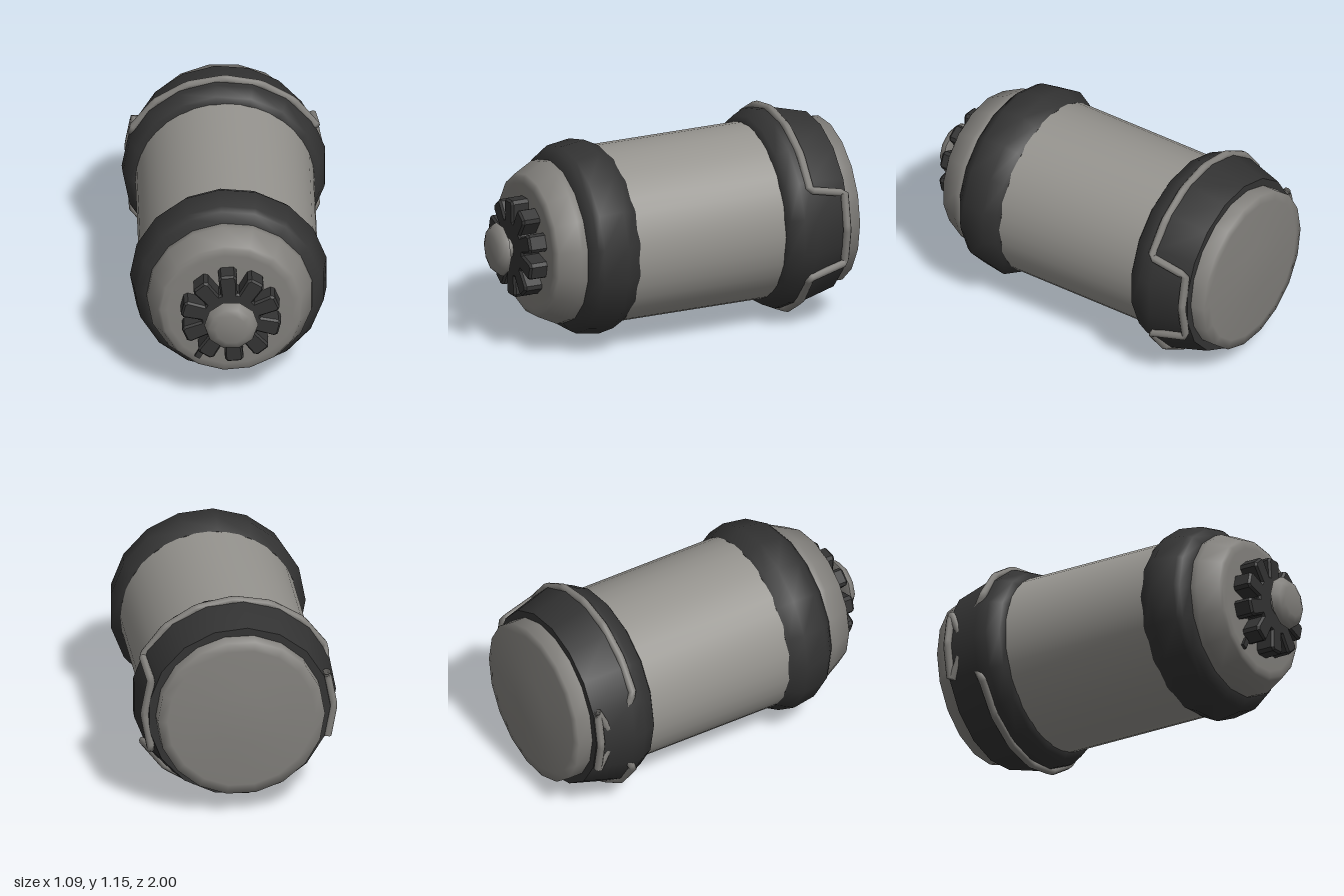
import * as THREE from 'three';
import { toCreasedNormals } from 'three/addons/utils/BufferGeometryUtils.js';

const AXIS_Y = 0.578;

export function createModel() {
  const model = new THREE.Group();
  model.name = 'canister';

  const mat = (name, color) => {
    const m = new THREE.MeshStandardMaterial({ color });
    m.name = name;
    return m;
  };
  const bodyMetal = mat('bodyMetal', 0x96948f);
  const capMetal = mat('capMetal', 0x82807c);
  const rubber = mat('darkRubber', 0x333333);

  // All parts sit on one horizontal axis running along z
  const assembly = new THREE.Group();
  assembly.name = 'assembly';
  assembly.position.y = AXIS_Y;
  model.add(assembly);

  const add = (name, geometry, material) => {
    const mesh = new THREE.Mesh(geometry, material);
    mesh.name = name;
    assembly.add(mesh);
    return mesh;
  };

  // Turned part: profile of [radius, z], listed from back to front
  const turned = (name, profile, sides, material, crease = 0.75) => {
    const pts = profile.map(([r, z]) => new THREE.Vector2(r, z));
    const g = new THREE.LatheGeometry(pts, sides, -Math.PI / 2).rotateX(Math.PI / 2);
    return add(name, toCreasedNormals(g, crease), material);
  };

  // Main cylinder and its two dark bands
  turned('body', [[0.48, -0.56], [0.48, 0.38]], 36, bodyMetal);
  turned('rearBand', [
    [0.40, -0.89], [0.493, -0.89], [0.55, -0.68], [0.546, -0.61], [0.515, -0.54], [0.48, -0.52], [0.46, -0.52],
  ], 17, rubber);
  turned('frontBand', [
    [0.46, 0.335], [0.482, 0.335], [0.495, 0.355], [0.531, 0.425], [0.512, 0.56], [0.495, 0.59], [0.45, 0.628], [0.38, 0.628],
  ], 17, rubber);

  // End caps
  turned('rearCap', [
    [0, -1.0], [0.15, -0.997], [0.33, -0.985], [0.40, -0.98], [0.452, -0.975], [0.452, -0.87],
  ], 18, capMetal, 1.6);
  turned('frontCap', [
    [0.43, 0.60], [0.447, 0.63], [0.445, 0.665], [0.39, 0.775], [0.375, 0.787], [0.34, 0.79], [0, 0.79],
  ], 17, capMetal, 0.9);

  // Ten-toothed dial
  const dialShape = new THREE.Shape();
  const tooth = [[0.155, -0.045], [0.25, -0.05], [0.268, -0.035], [0.268, 0.035], [0.25, 0.05], [0.155, 0.045]];
  for (let i = 0; i < 10; i++) {
    const a = THREE.MathUtils.degToRad(94 + i * 36);
    tooth.forEach(([r, w], k) => {
      const x = r * Math.cos(a) - w * Math.sin(a);
      const y = r * Math.sin(a) + w * Math.cos(a);
      if (i + k === 0) dialShape.moveTo(x, y);
      else dialShape.lineTo(x, y);
    });
  }
  dialShape.closePath();
  const dial = new THREE.ExtrudeGeometry(dialShape, {
    depth: 0.095, bevelEnabled: true, bevelThickness: 0.012, bevelSize: 0.01, bevelOffset: -0.01, bevelSegments: 1,
  });
  add('dial', dial, rubber).position.z = 0.783;

  // Pointer mark beside the dial
  const pointer = add('pointer', new THREE.BoxGeometry(0.032, 0.06, 0.02), rubber);
  pointer.position.set(-0.165, 0.313 - AXIS_Y, 0.795);
  pointer.rotation.z = -0.5;

  // Push knob on its stem
  turned('knobStem', [[0.055, 0.87], [0.055, 0.95]], 10, capMetal);
  turned('knob', [
    [0, 0.938], [0.125, 0.938], [0.145, 0.945], [0.14, 0.962], [0.118, 0.985], [0.085, 0.998], [0, 1.0],
  ], 10, capMetal, 0.9);

  // Bent wire clip: arcs above and below, stepping back at both sides
  const wire = [];
  const arc = (from, to) => {
    for (let i = 0; i <= 6; i++) {
      const a = THREE.MathUtils.degToRad(from + (to - from) * i / 6);
      wire.push(new THREE.Vector3(0.553 * Math.cos(a), 0.553 * Math.sin(a), -0.66));
    }
  };
  const step = (s) => [0.2, 0, -0.2].forEach((y) => {
    wire.push(new THREE.Vector3(s * (y === 0 ? 0.512 : 0.475), -s * -y, -0.872));
  });
  arc(-153, -27);
  wire.push(new THREE.Vector3(0.475, -0.2, -0.872), new THREE.Vector3(0.512, 0, -0.872), new THREE.Vector3(0.475, 0.2, -0.872));
  arc(27, 153);
  step(-1);
  const path = new THREE.CurvePath();
  wire.forEach((p, i) => path.add(new THREE.LineCurve3(p, wire[(i + 1) % wire.length])));
  // Straight runs follow the bends closely when sampled finely
  add('wireClip', new THREE.TubeGeometry(path, 160, 0.022, 8, true), capMetal);

  return model;
}
